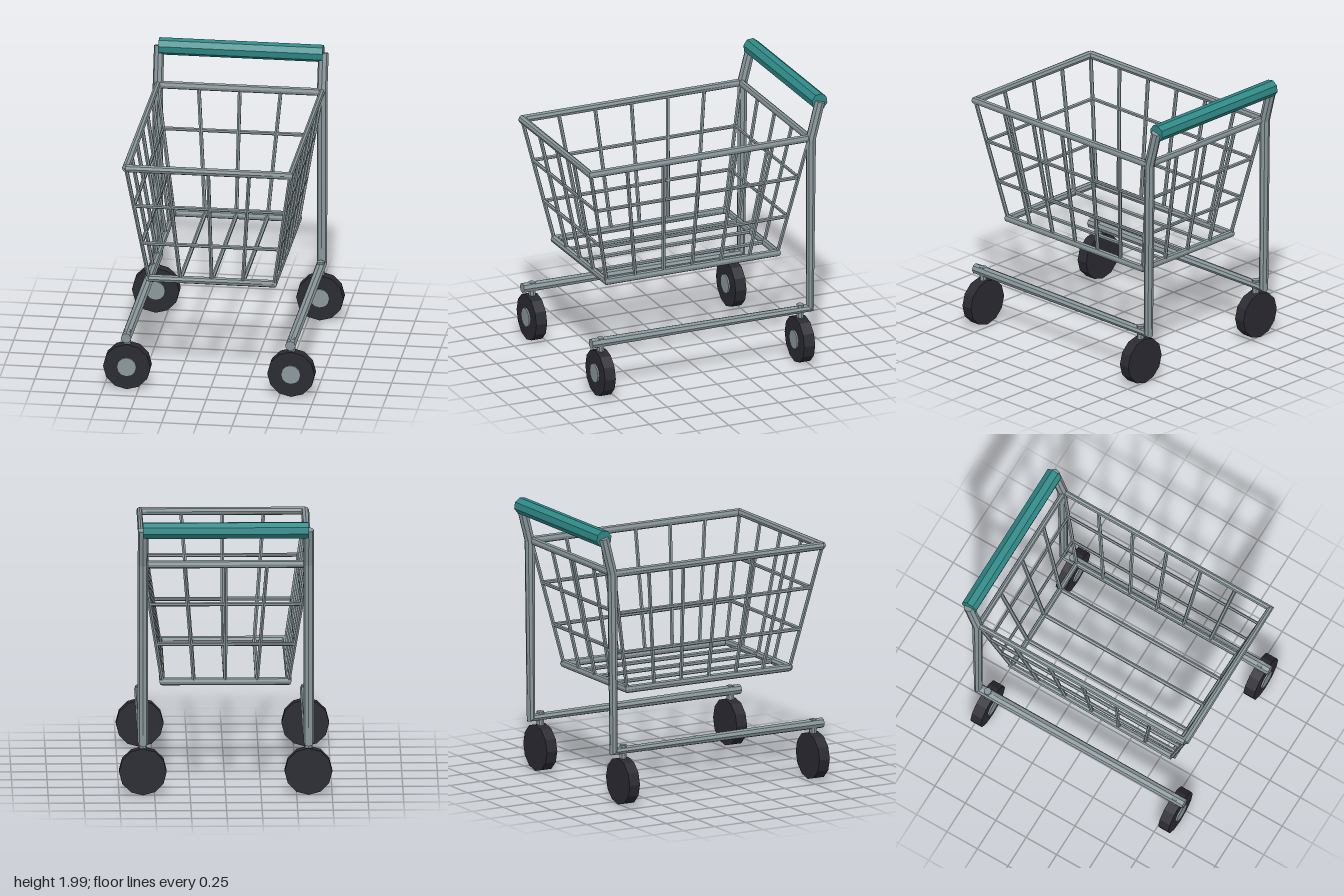
import * as THREE from 'three';

const mat = (name, color) => {
  const m = new THREE.MeshStandardMaterial({ color, flatShading: true });
  m.name = name;
  return m;
};
const V = (x, y, z) => new THREE.Vector3(x, y, z);

// Tube with one ring per path point; rings at bends face the averaged direction
function sweep(points, normal, radius, sides) {
  const pos = [], index = [], last = points.length - 1;
  points.forEach((p, i) => {
    const t = V(0, 0, 0);
    if (i > 0) t.add(p.clone().sub(points[i - 1]).normalize());
    if (i < last) t.add(points[i + 1].clone().sub(p).normalize());
    t.normalize();
    const b = t.clone().cross(normal);
    for (let j = 0; j < sides; j++) {
      const a = (j / sides) * Math.PI * 2;
      const v = p.clone().addScaledVector(normal, Math.cos(a) * radius).addScaledVector(b, Math.sin(a) * radius);
      pos.push(v.x, v.y, v.z);
    }
  });
  for (let i = 0; i < last; i++) {
    for (let j = 0; j < sides; j++) {
      const a = i * sides + j, b = i * sides + (j + 1) % sides;
      index.push(a, b, a + sides, b, b + sides, a + sides);
    }
  }
  for (let j = 1; j < sides - 1; j++) {
    const e = last * sides;
    index.push(0, j + 1, j, e, e + j, e + j + 1);
  }
  const g = new THREE.BufferGeometry();
  g.setAttribute('position', new THREE.Float32BufferAttribute(pos, 3));
  g.setIndex(index);
  const flat = g.toNonIndexed();
  flat.computeVertexNormals();
  return flat;
}

export function createModel() {
  const root = new THREE.Group();
  root.name = 'shoppingCart';
  const steel = mat('steel', 0x8a989c);
  const teal = mat('tealGrip', 0x2f8a89);
  const rubber = mat('darkRubber', 0x2b2a33);

  const add = (parent, name, geometry, material) => {
    const m = new THREE.Mesh(geometry, material);
    m.name = name;
    parent.add(m);
    return m;
  };
  const bar = (parent, name, a, b, r) => {
    const d = b.clone().sub(a);
    const m = add(parent, name, new THREE.CylinderGeometry(r, r, d.length(), 6), steel);
    m.position.copy(a).add(b).multiplyScalar(0.5);
    m.quaternion.setFromUnitVectors(V(0, 1, 0), d.normalize());
  };

  // Basket levels: t = 0 at the floor, t = 1 at the rim
  const mix = THREE.MathUtils.lerp;
  const at = (u, w, t) => V(
    mix(0.445, 0.583, t) * u,
    mix(0.793, 1.68, t),
    mix(mix(-0.605, 0.715, w), mix(-0.79, 0.902, w), t));

  const basket = new THREE.Group();
  basket.name = 'basket';
  root.add(basket);
  const hoop = (name, t, r, sides) => add(basket, name, sweep(
    [at(-1, 1, t), at(1, 1, t), at(1, 0, t), at(-1, 0, t), at(-1, 1, t)],
    V(0, 1, 0), r, sides), steel);
  hoop('topRim', 1, 0.029, 8);
  hoop('bottomRim', 0, 0.028, 8);
  hoop('lowerHoop', 0.318, 0.0145, 6);
  hoop('upperHoop', 0.658, 0.0145, 6);

  // Upright wires on the four walls, corners included
  for (const u of [-1, 1]) {
    for (let k = 0; k <= 6; k++) {
      bar(basket, 'sideWire', at(u, k / 6, 0), at(u, k / 6, 1), 0.0145);
    }
  }
  for (const u of [-0.5, 0, 0.5]) {
    for (const w of [0, 1]) bar(basket, 'endWire', at(u, w, 0), at(u, w, 1), 0.0145);
    bar(basket, 'floorWire', at(u, 0, 0), at(u, 1, 0), 0.0155);
  }

  // Side frames: lower rail, post and bent handle support
  for (const s of [-1, 1]) {
    const x = 0.583 * s;
    add(root, s > 0 ? 'leftFrame' : 'rightFrame', sweep(
      [V(x, 0.4, 0.9), V(x, 0.395, -0.793), V(x, 1.68, -0.803), V(x, 1.945, -0.872)],
      V(1, 0, 0), 0.037, 8), steel);

    // Casters with a hub on the front face
    for (const z of [0.825, -0.717]) {
      const caster = new THREE.Group();
      caster.name = 'caster';
      caster.position.set(x, 0.174, z);
      root.add(caster);
      const wheel = add(caster, 'wheel', new THREE.CylinderGeometry(0.168, 0.168, 0.083, 12), rubber);
      wheel.rotation.x = Math.PI / 2;
      const hub = add(caster, 'hub', new THREE.CylinderGeometry(0.07, 0.07, 0.02, 12), steel);
      hub.rotation.x = Math.PI / 2;
      hub.position.z = 0.0425;
      const stem = add(caster, 'stem', new THREE.CylinderGeometry(0.027, 0.027, 0.12, 8), steel);
      stem.position.y = 0.2;
    }
  }

  // Push handle
  const grip = add(root, 'handleGrip', new THREE.CylinderGeometry(0.061, 0.061, 1.166, 8), teal);
  grip.rotation.set(0.25, 0, Math.PI / 2);
  grip.position.set(0, 1.941, -0.87);
  // Roll the octagon so that it follows the slanted supports
  grip.rotation.set(0, 0, Math.PI / 2);
  grip.geometry.rotateY(0.25);

  return root;
}
